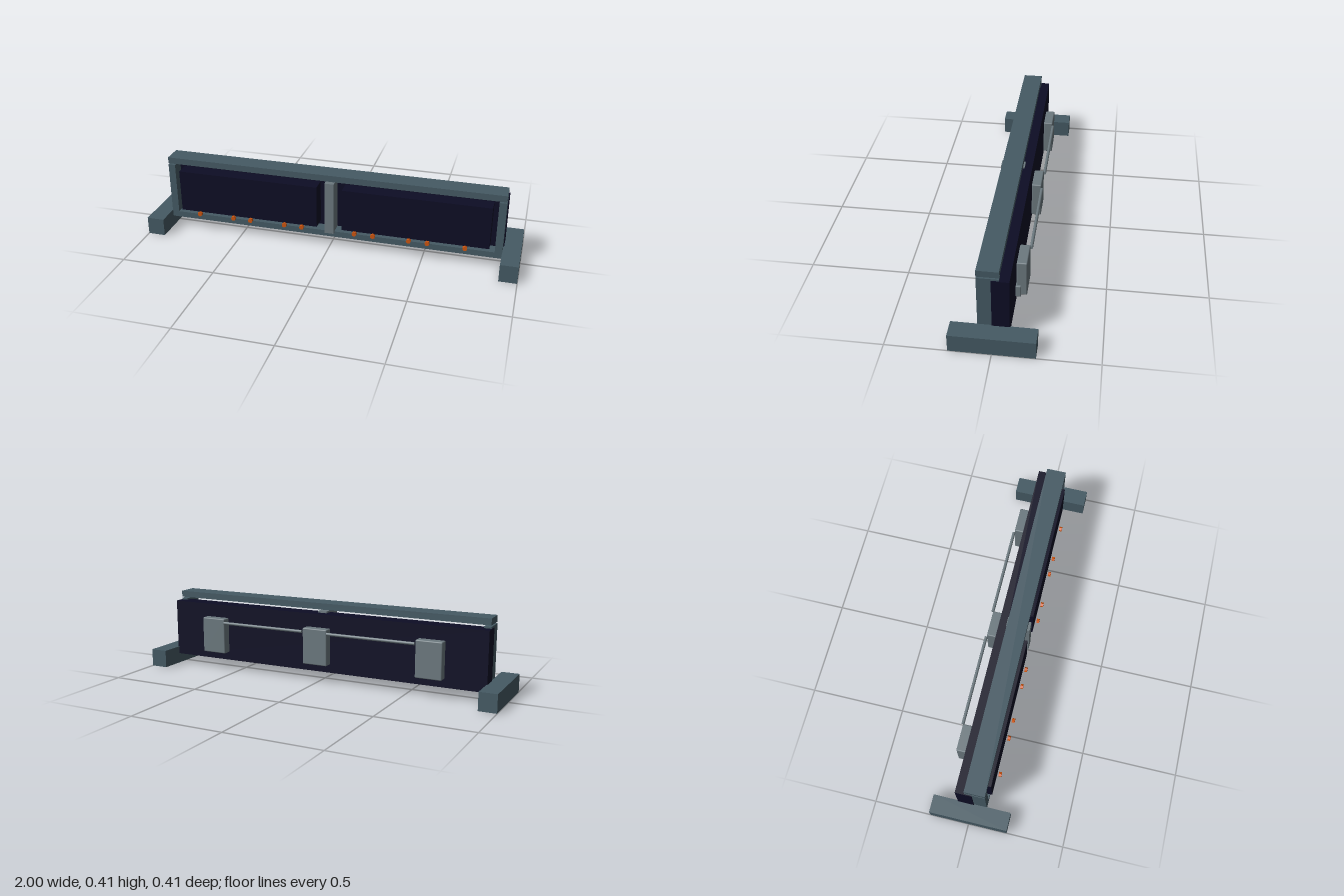
import * as THREE from 'three';
import { RoundedBoxGeometry } from 'three/addons/geometries/RoundedBoxGeometry.js';

function material(name, color) {
  const m = new THREE.MeshStandardMaterial({ color });
  m.name = name;
  return m;
}

export function createModel() {
  const model = new THREE.Group();
  const steel = material('slate steel', 0x455a64);
  const navy = material('dark navy', 0x0d0d25);
  const grey = material('casing grey', 0x6c797f);
  const orange = material('burnt orange', 0xcc5510);

  function add(name, geometry, mat, x = 0, y = 0, z = 0) {
    const mesh = new THREE.Mesh(geometry, mat);
    mesh.name = name;
    mesh.position.set(x, y, z);
    model.add(mesh);
    return mesh;
  }

  // Box given by its limits; a bevel radius rounds the edges
  function block(name, mat, [x0, x1], [y0, y1], [z0, z1], bevel = 0) {
    const w = x1 - x0, h = y1 - y0, d = z1 - z0;
    const geometry = bevel
      ? new RoundedBoxGeometry(w, h, d, 2, bevel)
      : new THREE.BoxGeometry(w, h, d);
    return add(name, geometry, mat, (x0 + x1) / 2, (y0 + y1) / 2, (z0 + z1) / 2);
  }

  // Frame beams and backing panel
  const depth = [-0.027, 0.077];
  block('topBeam', steel, [-0.907, 0.907], [0.379, 0.413], depth);
  block('bottomBeam', steel, [-0.905, 0.905], [0.058, 0.09], depth);
  block('backPanel', navy, [-0.912, 0.912], [0.054, 0.363], [-0.073, 0.01]);
  block('centreDivider', grey, [-0.025, 0.025], [0.082, 0.372], [-0.034, 0.09]);

  for (const [side, s] of [['left', 1], ['right', -1]]) {
    const span = (a, b) => (s > 0 ? [a, b] : [-b, -a]);
    block(side + 'Foot', steel, span(0.907, 1), [0, 0.095], [-0.203, 0.203]);
    block(side + 'Post', steel, span(0.87, 0.908), [0.06, 0.372], depth);
    block(side + 'FrontPanel', navy, span(0.068, 0.842), [0.112, 0.343], [0.01, 0.09]);
    block(side + 'Casing', grey, span(0.558, 0.698), [0.1, 0.294], [-0.127, -0.077], 0.006);

    // Conduit between the casings
    const rod = add(side + 'Conduit', new THREE.CylinderGeometry(0.008, 0.008, 0.482, 10),
      grey, s * 0.314, 0.274, -0.13);
    rod.rotation.z = Math.PI / 2;
  }

  // Rear centre casing and small junction box
  block('centreCasing', grey, [-0.07, 0.07], [0.1, 0.294], [-0.127, -0.077], 0.006);
  block('junctionBox', grey, [0.62, 0.71], [0.097, 0.16], [-0.099, -0.073], 0.004);

  // Row of hexagonal bolts along the front
  const bolt = new THREE.CylinderGeometry(0.013, 0.013, 0.015, 6).toNonIndexed();
  bolt.rotateX(Math.PI / 2);
  bolt.computeVertexNormals();
  [-0.73, -0.535, -0.437, -0.245, -0.148, 0.141, 0.24, 0.43, 0.527, 0.721].forEach((x, i) => {
    add('bolt' + (i + 1), bolt, orange, x, 0.107, 0.105).rotation.z = i * 0.7;
  });

  return model;
}
